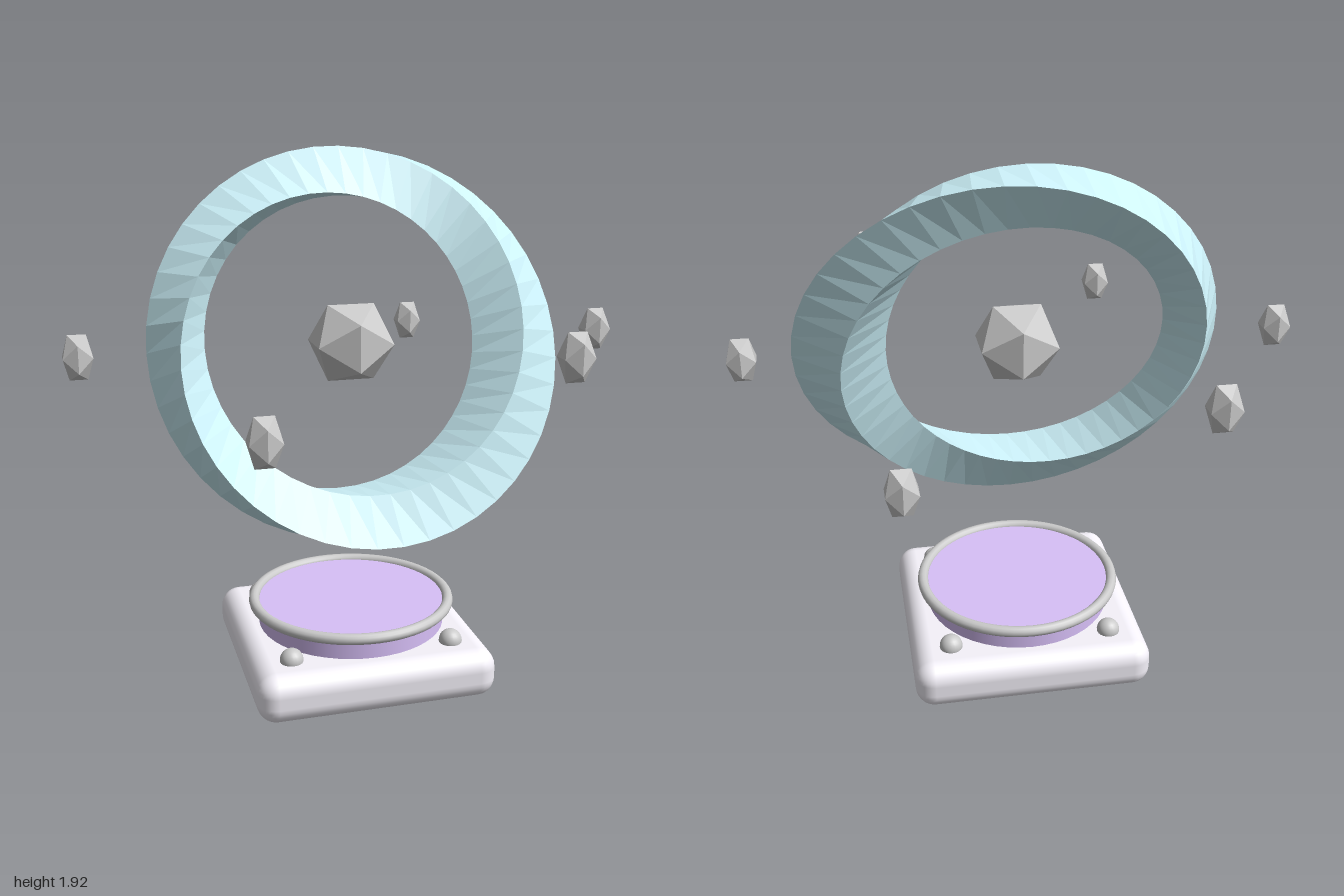
import * as THREE from 'three';
import { RoundedBoxGeometry } from 'three/addons/geometries/RoundedBoxGeometry.js';

const grey = new THREE.MeshStandardMaterial({ color: 0xcccccc });
const greyFacet = new THREE.MeshStandardMaterial({ color: 0xcccccc, flatShading: true });
const stone = new THREE.MeshStandardMaterial({ color: 0xf6f3fb });
const purple = new THREE.MeshStandardMaterial({ color: 0xd8c0f8 });
const blue = new THREE.MeshStandardMaterial({ color: 0xcdf2fa, flatShading: true });

const CORE_Y = 1.246;

// Ring with a rhombus section that makes half a turn on its way round
function twistedRing(radius, longHalf, shortHalf, segments) {
  const positions = [], indices = [];
  for (let i = 0; i <= segments; i++) {
    const a = (i / segments) * Math.PI * 2;
    const c = Math.cos(a / 2), s = Math.sin(a / 2);
    for (let k = 0; k < 4; k++) {
      const p = longHalf * Math.cos(k * Math.PI / 2);
      const q = shortHalf * Math.sin(k * Math.PI / 2);
      const r = radius + p * c + q * s;
      positions.push(r * Math.cos(a), r * Math.sin(a), q * c - p * s);
    }
  }
  for (let i = 0; i < segments; i++) {
    for (let k = 0; k < 4; k++) {
      const a = i * 4 + k, b = i * 4 + (k + 1) % 4;
      indices.push(a, a + 4, b, b, a + 4, b + 4);
    }
  }
  const geometry = new THREE.BufferGeometry();
  geometry.setAttribute('position', new THREE.Float32BufferAttribute(positions, 3));
  geometry.setIndex(indices);
  geometry.computeVertexNormals();
  return geometry;
}

export function createModel() {
  const model = new THREE.Group();
  model.name = 'floatingRingPedestal';

  const add = (name, geometry, material, x, y, z) => {
    const mesh = new THREE.Mesh(geometry, material);
    mesh.name = name;
    mesh.position.set(x, y, z);
    model.add(mesh);
    return mesh;
  };

  // Pedestal
  add('base', new RoundedBoxGeometry(0.872, 0.18, 0.872, 4, 0.07), stone, 0, 0.09, 0);
  add('plinth', new THREE.CylinderGeometry(0.348, 0.348, 0.11, 48), purple, 0, 0.213, 0);
  add('rim', new THREE.TorusGeometry(0.365, 0.02, 12, 64), grey, 0, 0.265, 0).rotation.x = Math.PI / 2;

  // Studs on the base corners
  const stud = new THREE.SphereGeometry(0.042, 20, 14);
  for (const x of [-0.295, 0.295]) {
    for (const z of [-0.295, 0.295]) add('stud', stud, grey, x, 0.185, z);
  }

  // Tilted twisted ring and the core floating in it
  const ring = add('twistedRing', twistedRing(0.622, 0.161, 0.1, 48), blue, 0, CORE_Y, 0);
  ring.rotation.x = -0.35;
  add('core', new THREE.IcosahedronGeometry(0.161, 0), greyFacet, 0, CORE_Y, 0);

  // Six orbiting crystals, alternately raised and lowered
  const crystal = new THREE.IcosahedronGeometry(0.059, 0).scale(1, 1.55, 1);
  for (let i = 0; i < 6; i++) {
    const a = i * Math.PI / 3;
    add('crystal', crystal, greyFacet,
      0.95 * Math.cos(a), CORE_Y + 0.11 * Math.sin(2 * a), 0.95 * Math.sin(a));
  }
  return model;
}
